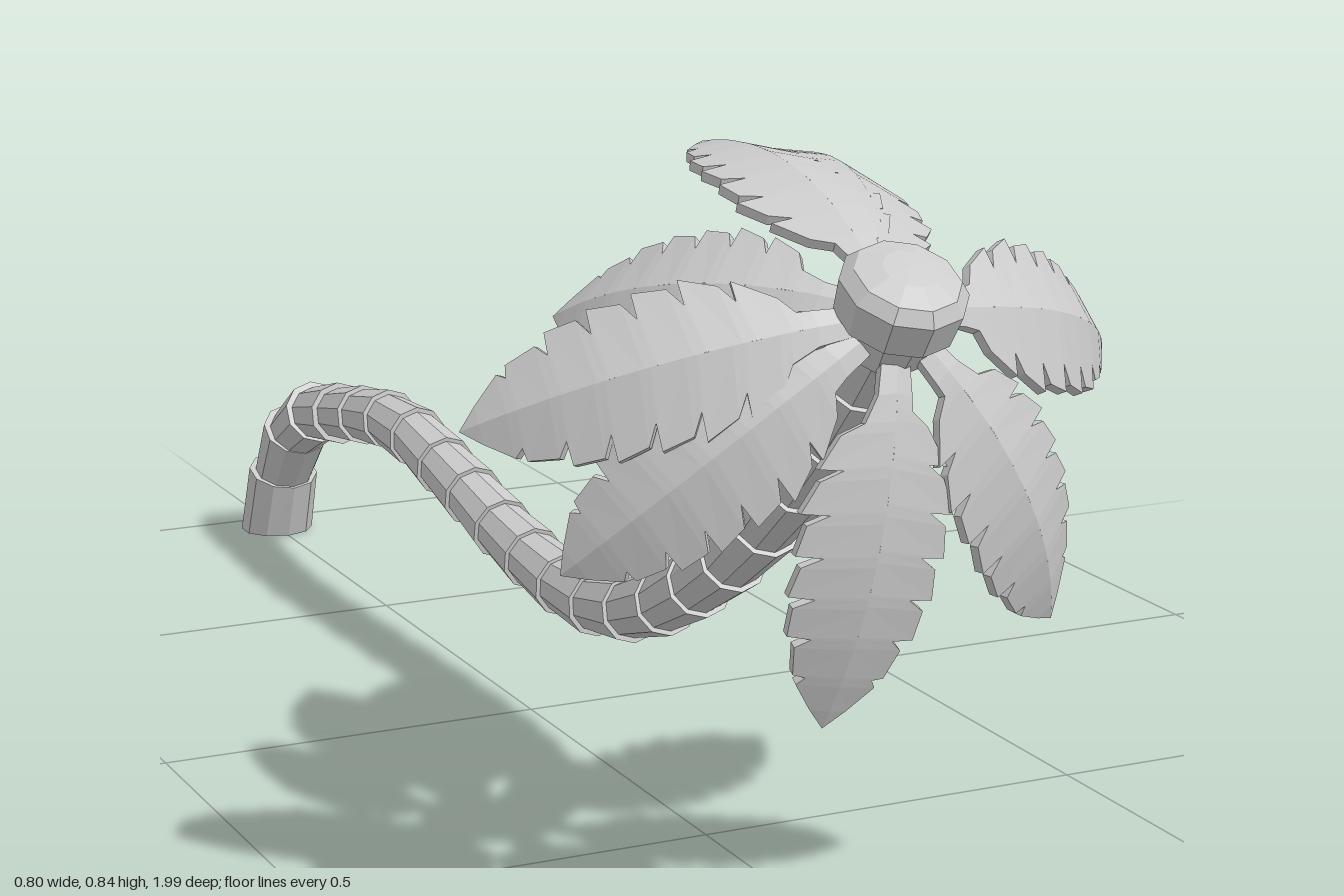
import * as THREE from 'three';

const material = new THREE.MeshStandardMaterial({ color: 0xcccccc, flatShading: true });
const V = (x, y, z) => new THREE.Vector3(x, y, z);
const UP = V(0, 1, 0);

// Trunk: a chain of flared rings along a sagging curve
function createTrunk() {
  const trunk = new THREE.Group();
  trunk.name = 'trunk';
  const path = new THREE.CatmullRomCurve3([
    [0, -0.945], [0.11, -0.905], [0.2, -0.82], [0.25, -0.635], [0.28, -0.44], [0.25, -0.235],
    [0.21, -0.02], [0.2, 0.19], [0.24, 0.35], [0.345, 0.54], [0.45, 0.67], [0.58, 0.8], [0.7, 0.9],
  ].map(([y, z]) => V(0, y, z)));
  const count = 22;
  for (let i = 0; i < count; i++) {
    const a = path.getPointAt(i / count), b = path.getPointAt((i + 1) / count);
    const dir = b.clone().sub(a), length = dir.length() * 1.06;
    const t = i / (count - 1);
    const scale = 1 + 0.22 * Math.max(0, 1 - t * 5) + 0.1 * Math.max(0, t * 3 - 2);
    const lower = i === 0 ? 0.044 : 0.036;
    const geometry = new THREE.CylinderGeometry(0.042 * scale, lower * scale, length, 10);
    geometry.translate(0, length / 2, 0);
    geometry.applyQuaternion(new THREE.Quaternion().setFromUnitVectors(UP, dir.normalize()));
    geometry.translate(a.x, a.y, a.z);
    // Sit the lowest ring flat on the ground
    if (i === 0) {
      const p = geometry.attributes.position;
      for (let k = 0; k < p.count; k++) if (p.getY(k) < 0.035) p.setY(k, 0);
    }
    const ring = new THREE.Mesh(geometry, material);
    ring.name = 'trunkRing';
    trunk.add(ring);
  }
  return trunk;
}

// Half width of a leaf along its length
const WIDTHS = [[0, 0.012], [0.18, 0.02], [0.26, 0.062], [0.42, 0.084], [0.7, 0.078], [0.88, 0.046], [1, 0]];
function halfWidth(t) {
  for (let i = 1; i < WIDTHS.length; i++) {
    const [t0, w0] = WIDTHS[i - 1], [t1, w1] = WIDTHS[i];
    if (t <= t1) return w0 + (w1 - w0) * (t - t0) / (t1 - t0);
  }
  return 0;
}

// Sections [t, width] of one half, notched between the lobes
function leafSections(phase) {
  const sections = [[0, halfWidth(0)], [0.17, halfWidth(0.17)]];
  const lobes = 6, start = 0.2 + phase, step = (0.86 - start) / lobes;
  for (let i = 0; i < lobes; i++) {
    const t0 = start + i * step, t1 = t0 + step;
    sections.push([t0, halfWidth(t0) * 0.68]);
    sections.push([t0 + step * 0.22, halfWidth(t0 + step * 0.22) * 0.95]);
    sections.push([t1 - step * 0.06, halfWidth(t1 - step * 0.06) * 1.04]);
  }
  sections.push([0.86, halfWidth(0.86) * 0.78], [0.88, halfWidth(0.88)], [0.95, halfWidth(0.95) * 1.1], [1, 0]);
  return sections;
}

// Leaf: two thin toothed halves folded down from an arched midrib
function createLeaf(root, tip, phase) {
  const chord = tip.clone().sub(root).normalize();
  const face = V(0, 0.5, 0.87);
  const normal = face.addScaledVector(chord, -face.dot(chord)).normalize();
  const across = chord.clone().cross(normal).normalize();
  const control = root.clone().add(tip).multiplyScalar(0.5).addScaledVector(normal, 0.115);
  const midrib = new THREE.QuadraticBezierCurve3(root, control, tip);
  const positions = [];
  for (const side of [-1, 1]) {
    const rows = leafSections(side > 0 ? phase : 0.03 - phase).map(([t, w]) => {
      const mid = midrib.getPoint(t);
      const out = midrib.getTangent(t).cross(across).normalize().negate();
      if (out.dot(normal) < 0) out.negate();
      const edge = midrib.getPoint(Math.min(1, t + w * 0.3))
        .addScaledVector(across, side * w).addScaledVector(out, -0.22 * w);
      const thick = 0.011;
      return [mid, edge, edge.clone().addScaledVector(out, -thick), mid.clone().addScaledVector(out, -thick)];
    });
    for (let i = 0; i + 1 < rows.length; i++) {
      for (let k = 0; k < 3; k++) {
        const a = rows[i][k], b = rows[i][k + 1], c = rows[i + 1][k + 1], d = rows[i + 1][k];
        const corners = side > 0 ? [a, b, c, a, c, d] : [a, c, b, a, d, c];
        corners.forEach(p => positions.push(p.x, p.y, p.z));
      }
    }
  }
  const geometry = new THREE.BufferGeometry();
  geometry.setAttribute('position', new THREE.Float32BufferAttribute(positions, 3));
  geometry.computeVertexNormals();
  const leaf = new THREE.Mesh(geometry, leafMaterial);
  leaf.name = 'leaf';
  return leaf;
}
const leafMaterial = material.clone();
leafMaterial.side = THREE.DoubleSide;

export function createModel() {
  const model = new THREE.Group();
  model.name = 'palmTree';
  model.add(createTrunk());

  // Crown hub: faceted knob with a low dome, tipped forward
  const profile = [[0, -0.08], [0.042, -0.08], [0.05, -0.045], [0.066, -0.035], [0.07, 0.005],
    [0.058, 0.02], [0.03, 0.029], [0, 0.031]].map(([r, y]) => new THREE.Vector2(r, y));
  const hub = new THREE.Mesh(new THREE.LatheGeometry(profile, 10), material);
  hub.name = 'crownHub';
  hub.position.set(0, 0.74, 0.925);
  hub.quaternion.setFromUnitVectors(UP, V(0, 0.88, 0.47).normalize());
  model.add(hub);

  // Leaves, given by their tips around the crown
  const crown = new THREE.Group();
  crown.name = 'leaves';
  const root = V(0, 0.715, 0.915);
  const tips = [
    [-0.4, 0.58, 0.7], [0.4, 0.6, 0.69],
    [-0.32, 0.435, 0.78], [-0.065, 0.265, 0.89], [0.235, 0.34, 0.86],
    [0.13, 0.795, 0.44], [0.01, 0.82, 0.45], [-0.2, 0.645, 0.5],
  ];
  tips.forEach((tip, i) => crown.add(createLeaf(root, V(...tip), 0.01 * (i % 4))));
  model.add(crown);
  return model;
}
